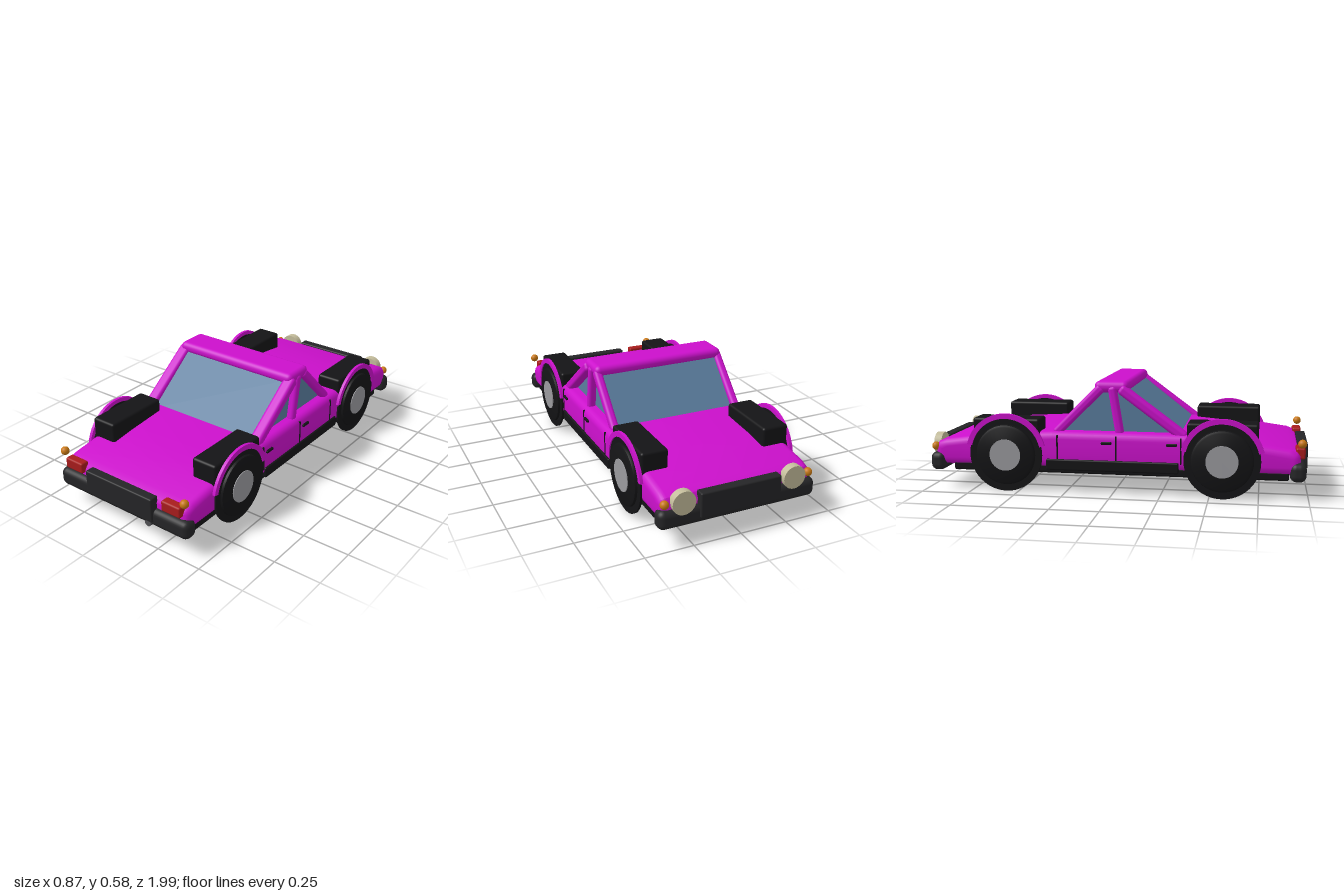
import * as THREE from 'three';
import { RoundedBoxGeometry } from 'three/addons/geometries/RoundedBoxGeometry.js';
import { toCreasedNormals } from 'three/addons/utils/BufferGeometryUtils.js';

const mat = (color) => new THREE.MeshStandardMaterial({ color });
const paint = mat(0xcc10cc), black = mat(0x141416), trim = mat(0x252527), glass = mat(0x5a7d9e);
const red = mat(0xa81c1c), amber = mat(0xc87814), lamp = mat(0xc4bd9c), steel = mat(0x9a9a9e), grey = mat(0x505054);

export function createModel() {
  const car = new THREE.Group();
  car.name = 'car';

  const add = (name, geometry, material, x = 0, y = 0, z = 0) => {
    const mesh = new THREE.Mesh(geometry, material);
    mesh.name = name;
    mesh.position.set(x, y, z);
    car.add(mesh);
    return mesh;
  };
  // Rounded box given by its extents
  const block = (name, material, [x0, x1], [y0, y1], [z0, z1], r = 0.01) =>
    add(name, new RoundedBoxGeometry(x1 - x0, y1 - y0, z1 - z0, 3, r), material,
      (x0 + x1) / 2, (y0 + y1) / 2, (z0 + z1) / 2);
  // Side profile in (z, y), extruded across the car's width
  const across = (shape, width, bevel = 0) => {
    const g = new THREE.ExtrudeGeometry(shape, {
      depth: width - 2 * bevel, curveSegments: 32, bevelEnabled: bevel > 0, bevelSize: bevel,
      bevelThickness: bevel, bevelOffset: -bevel, bevelSegments: 5,
    });
    g.translate(0, 0, bevel - width / 2).rotateY(-Math.PI / 2);
    return toCreasedNormals(g, 0.6);
  };
  const polygon = (points) => new THREE.Shape(points.map(([z, y]) => new THREE.Vector2(z, y)));
  // Sloping bar from one (z, y) point to another
  const bar = (name, x, width, thick, [z0, y0], [z1, y1]) => {
    const dz = z1 - z0, dy = y1 - y0;
    const mesh = add(name, new RoundedBoxGeometry(width, Math.hypot(dz, dy), thick, 3, 0.018), paint,
      x, (y0 + y1) / 2, (z0 + z1) / 2);
    mesh.rotation.x = Math.atan2(dz, dy);
  };

  // Body shell with sloping, rounded ends
  add('body', across(polygon([
    [-0.93, 0.13], [0.93, 0.13], [0.955, 0.16], [0.955, 0.225], [0.94, 0.247], [0.9, 0.262],
    [0.62, 0.3], [0.37, 0.322], [-0.32, 0.322], [-0.62, 0.305], [-0.9, 0.267], [-0.945, 0.25],
    [-0.96, 0.225], [-0.96, 0.16],
  ]), 0.81, 0.04), paint);

  // Cabin
  add('windows', across(polygon([[-0.31, 0.3], [0.375, 0.3], [0.06, 0.545], [-0.085, 0.545]]), 0.67), glass);
  block('roof', paint, [-0.372, 0.372], [0.525, 0.585], [-0.1, 0.078], 0.028);

  // Underside
  block('floorPan', black, [-0.39, 0.39], [0.1, 0.145], [-0.86, 0.9]);
  block('sump', trim, [-0.145, 0.145], [0.075, 0.11], [0.14, 0.38], 0.008);
  block('gearboxCover', trim, [-0.13, 0.13], [0.08, 0.11], [-0.52, -0.33], 0.008);
  const muffler = add('muffler', new THREE.CylinderGeometry(0.035, 0.035, 0.3, 20), grey, 0.183, 0.11, 0.19);
  const pipe = add('exhaustPipe', new THREE.CylinderGeometry(0.018, 0.018, 0.65, 16), grey, 0.183, 0.115, 0.665);
  muffler.rotation.x = pipe.rotation.x = Math.PI / 2;

  // Bumpers and plates at both ends
  for (const e of [1, -1]) {
    const span = (a, b) => (e > 0 ? [a, b] : [-b, -a]);
    block('bumper', trim, [-0.42, 0.42], [0.097, 0.195], span(0.903, 0.985), 0.033);
    block('endPlate', trim, [-0.215, 0.215], [0.13, 0.26], span(0.945, 0.997), 0.008);
  }

  // Wheel parts, shared by all four corners
  const tyre = new THREE.LatheGeometry([
    [0, -0.065], [0.145, -0.065], [0.156, -0.06], [0.16, -0.048], [0.16, 0.048], [0.156, 0.06], [0.145, 0.065], [0, 0.065],
  ].map(([r, h]) => new THREE.Vector2(r, h)), 48).rotateZ(-Math.PI / 2);
  const tyreGeo = toCreasedNormals(tyre, 0.6);
  const rim = new THREE.CylinderGeometry(0.195, 0.195, 0.012, 48).rotateZ(Math.PI / 2);
  const hub = new THREE.CylinderGeometry(0.083, 0.083, 0.14, 32).rotateZ(Math.PI / 2);
  const archShape = new THREE.Shape();
  archShape.absarc(0, 0, 0.215, 0.23, Math.PI - 0.23, false);
  archShape.absarc(0, 0, 0.188, Math.PI - 0.23, 0.23, true);
  const arch = across(archShape, 0.016);

  for (const s of [1, -1]) {
    const side = (a, b) => (s > 0 ? [a, b] : [-b, -a]);

    for (const z of [0.565, -0.565]) {
      add('tyre', tyreGeo, black, s * 0.365, 0.195, z);
      add('wheelDisc', rim, black, s * 0.408, 0.195, z);
      add('hubcap', hub, steel, s * 0.364, 0.195, z);
      add('wheelArch', arch, paint, s * 0.413, 0.197, z);
      block('wheelWell', black, side(0.26, 0.402), [0.14, 0.385], [z - 0.18, z + 0.18], 0.014);
    }

    // Roof pillars
    bar('frontPillar', s * 0.352, 0.066, 0.052, [0.375, 0.3], [0.035, 0.55]);
    bar('middlePillar', s * 0.356, 0.045, 0.045, [0.035, 0.305], [-0.008, 0.56]);
    bar('rearPillar', s * 0.354, 0.045, 0.048, [-0.31, 0.305], [-0.06, 0.555]);

    // Sill, door gaps and handles
    block('sill', black, side(0.36, 0.415), [0.12, 0.178], [-0.35, 0.345], 0.008);
    for (const z of [0.355, 0.02, -0.29]) block('doorGap', black, side(0.395, 0.408), [0.17, 0.305], [z - 0.004, z + 0.004], 0.002);
    for (const z of [0.308, -0.03]) block('doorHandle', black, side(0.395, 0.416), [0.262, 0.276], [z - 0.027, z + 0.027], 0.004);

    // Lights
    block('redLamp', red, side(0.26, 0.375), [0.21, 0.268], [0.93, 0.978], 0.01);
    add('frontIndicator', new THREE.SphereGeometry(0.022, 24, 16), amber, s * 0.392, 0.293, 0.96);
    add('rearIndicator', new THREE.SphereGeometry(0.022, 24, 16), amber, s * 0.385, 0.225, -0.96);
    const light = add('roundLamp', new THREE.CylinderGeometry(0.06, 0.06, 0.04, 32), lamp, s * 0.295, 0.225, -0.965);
    light.rotation.x = Math.PI / 2;
  }
  return car;
}
